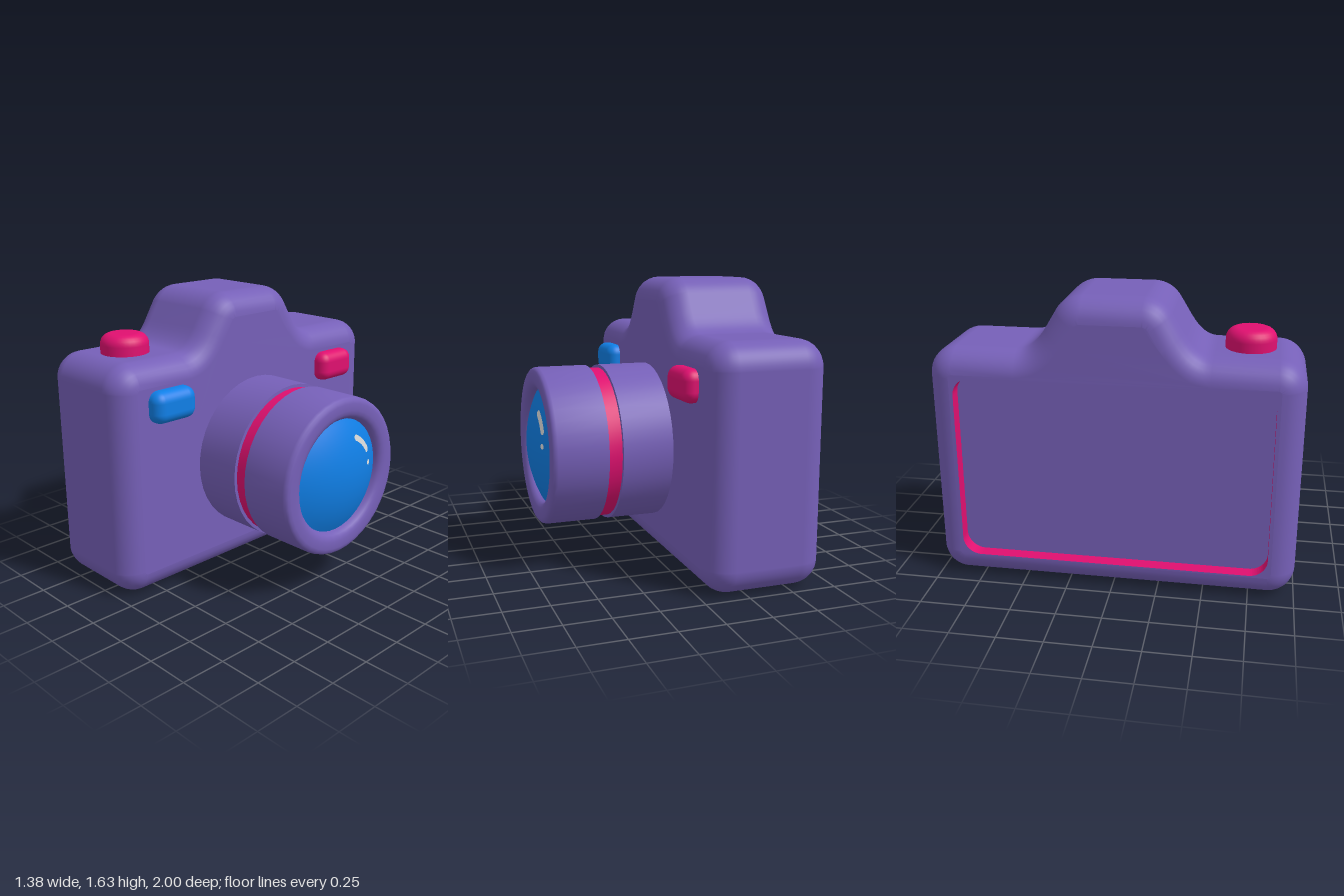
import * as THREE from 'three';
import { mergeGeometries, mergeVertices, toCreasedNormals } from 'three/addons/utils/BufferGeometryUtils.js';
import { RoundedBoxGeometry } from 'three/addons/geometries/RoundedBoxGeometry.js';

const mat = (name, color) => Object.assign(new THREE.MeshStandardMaterial({ color }), { name });
const SEG = 8, BACK = -0.69, FRONT = -0.03, LENS_Y = 0.67;

function addMesh(group, name, geometry, material) {
  const mesh = new THREE.Mesh(geometry, material);
  mesh.name = name;
  group.add(mesh);
  return mesh;
}

// Outline of the camera's flat front: the full silhouette inset by the edge rounding.
function bodyShape() {
  const s = new THREE.Shape(), r = 0.02, w = 0.87, lo = 0.13, hi = 1.2, top = 1.5;
  s.absarc(w - r, lo + r, r, -Math.PI / 2, 0);
  s.absarc(w - r, hi - r, r, 0, Math.PI / 2);
  s.lineTo(0.515, hi);
  s.quadraticCurveTo(0.36, hi, 0.255, 1.375);
  s.lineTo(0.195, 1.475);
  s.quadraticCurveTo(0.18, top, 0.155, top);
  s.lineTo(-0.155, top);
  s.quadraticCurveTo(-0.18, top, -0.195, 1.475);
  s.lineTo(-0.255, 1.375);
  s.quadraticCurveTo(-0.36, hi, -0.515, hi);
  s.absarc(-w + r, hi - r, r, Math.PI / 2, Math.PI);
  s.absarc(-w + r, lo + r, r, Math.PI, Math.PI * 1.5);
  s.closePath();
  return s;
}

function roundedRect(w, lo, hi, r) {
  const s = new THREE.Shape();
  s.absarc(w - r, lo + r, r, -Math.PI / 2, 0);
  s.absarc(w - r, hi - r, r, 0, Math.PI / 2);
  s.absarc(-w + r, hi - r, r, Math.PI / 2, Math.PI);
  s.absarc(-w + r, lo + r, r, Math.PI, Math.PI * 1.5);
  s.closePath();
  return s;
}

// Position-only, non-indexed copy of a triangle range.
function bare(geometry, start = 0, count = Infinity) {
  const g = geometry.index ? geometry.toNonIndexed() : geometry;
  const p = g.attributes.position.array;
  const out = new THREE.BufferGeometry();
  const end = Math.min(p.length, (start + count) * 3);
  out.setAttribute('position', new THREE.BufferAttribute(p.slice(start * 3, end), 3));
  return out;
}

// Extrusion without its end caps.
function extrudedSides(shape, options) {
  const g = new THREE.ExtrudeGeometry(shape, { curveSegments: SEG, ...options });
  const side = g.groups.find((o) => o.materialIndex === 1);
  return bare(g, side.start, side.count);
}

// Turned part along x, from [x, radius] points.
function turned(points, segments = 40, crease = 0.7) {
  const g = new THREE.LatheGeometry(points.map(([x, r]) => new THREE.Vector2(r, x)), segments);
  return toCreasedNormals(g, crease).rotateZ(-Math.PI / 2);
}

export function createModel() {
  const purple = mat('purple', 0x7660b8);
  const pink = mat('pink', 0xe01070);
  const blue = mat('blue', 0x1080e8);
  const white = mat('white', 0xf0f0f0);
  const pinkInside = mat('pink', 0xe01070);
  pinkInside.side = THREE.DoubleSide;

  const model = new THREE.Group();
  model.name = 'camera';

  // Body: soft-edged extrusion, plain front and a back with a screen opening
  const screen = roundedRect(0.85, 0.14, 1.185, 0.1);
  const backShape = bodyShape();
  backShape.holes.push(screen);
  const sides = extrudedSides(bodyShape(), {
    depth: 0.38, bevelThickness: 0.14, bevelSize: 0.13, bevelSegments: 7,
  });
  const front = bare(new THREE.ShapeGeometry(bodyShape(), SEG)).translate(0, 0, 0.52);
  const back = bare(new THREE.ShapeGeometry(backShape, SEG)).rotateY(Math.PI).translate(0, 0, -0.14);
  const body = mergeVertices(mergeGeometries([sides, front, back]), 1e-4);
  body.computeVertexNormals();
  body.rotateY(Math.PI / 2).translate(BACK + 0.14, 0, 0);
  addMesh(model, 'body', body, purple);

  // Recessed screen with a pink surround
  const depth = 0.075;
  const wall = extrudedSides(screen, { depth, bevelEnabled: false });
  wall.computeVertexNormals();
  wall.rotateY(Math.PI / 2).translate(BACK, 0, 0);
  addMesh(model, 'screenSurround', wall, pinkInside);
  const floor = new THREE.ShapeGeometry(screen, SEG).rotateY(-Math.PI / 2).translate(BACK + depth, 0, 0);
  addMesh(model, 'screen', floor, purple);

  // Lens barrel, grip ring and rounded front rim
  const lens = new THREE.Group();
  lens.name = 'lens';
  lens.position.y = LENS_Y;
  model.add(lens);
  addMesh(lens, 'lensBarrel', turned([[FRONT - 0.02, 0.455], [0.26, 0.455], [0.262, 0.42]]), purple);
  addMesh(lens, 'lensRing', turned([[0.25, 0.437], [0.35, 0.437]]), pink);
  addMesh(lens, 'lensRim', turned([
    [0.338, 0.42], [0.34, 0.455], [0.625, 0.455], [0.642, 0.45], [0.652, 0.438], [0.656, 0.42],
    [0.656, 0.38], [0.652, 0.36], [0.642, 0.343], [0.626, 0.331], [0.59, 0.325],
  ]), purple);

  // Domed glass
  const domeX = (r) => 0.69 - 0.7 + Math.sqrt(0.49 - r * r);
  const dome = [];
  for (let i = 10; i >= 0; i--) dome.push([domeX(0.033 * i), 0.033 * i]);
  addMesh(lens, 'lensGlass', turned(dome, 40, 1), blue);

  // Glints laid on the dome
  const glint = (g, u = 0, v = 0) => {
    g.translate(u, v, 0);
    const p = g.attributes.position;
    for (let i = 0; i < p.count; i++) p.setZ(i, domeX(Math.hypot(p.getX(i), p.getY(i))) + 0.005);
    g.rotateY(Math.PI / 2);
    return g;
  };
  const a0 = 0.53, a1 = 1.1, r = 0.234, t = 0.017;
  addMesh(lens, 'glintArc', glint(new THREE.RingGeometry(r - t, r + t, 12, 2, a0, a1 - a0)), white);
  for (const [i, a] of [a0, a1].entries()) {
    addMesh(lens, 'glintEnd' + (i + 1), glint(
      new THREE.CircleGeometry(t, 12, a - Math.PI + i * Math.PI, Math.PI), r * Math.cos(a), r * Math.sin(a)), white);
  }
  addMesh(lens, 'glintDot', glint(new THREE.CircleGeometry(0.016, 12), 0.214, 0.038), white);

  // Shutter button
  const profile = [new THREE.Vector2(0.135, 0)];
  for (let i = 0; i <= 6; i++) {
    const a = (i / 6) * Math.PI / 2;
    profile.push(new THREE.Vector2(0.075 + 0.06 * Math.cos(a), 0.08 + 0.06 * Math.sin(a)));
  }
  profile.push(new THREE.Vector2(0, 0.14));
  addMesh(model, 'shutterButton', new THREE.LatheGeometry(profile, 32), pink).position.set(-0.36, 1.3, 0.7);

  // Small windows on the front
  for (const [name, material, side] of [['viewfinderWindow', blue, 1], ['flashWindow', pink, -1]]) {
    addMesh(model, name, new RoundedBoxGeometry(0.2, 0.18, 0.285, 5, 0.06), material)
      .position.set(-0.05, 1.09, side * 0.658);
  }

  return model;
}
